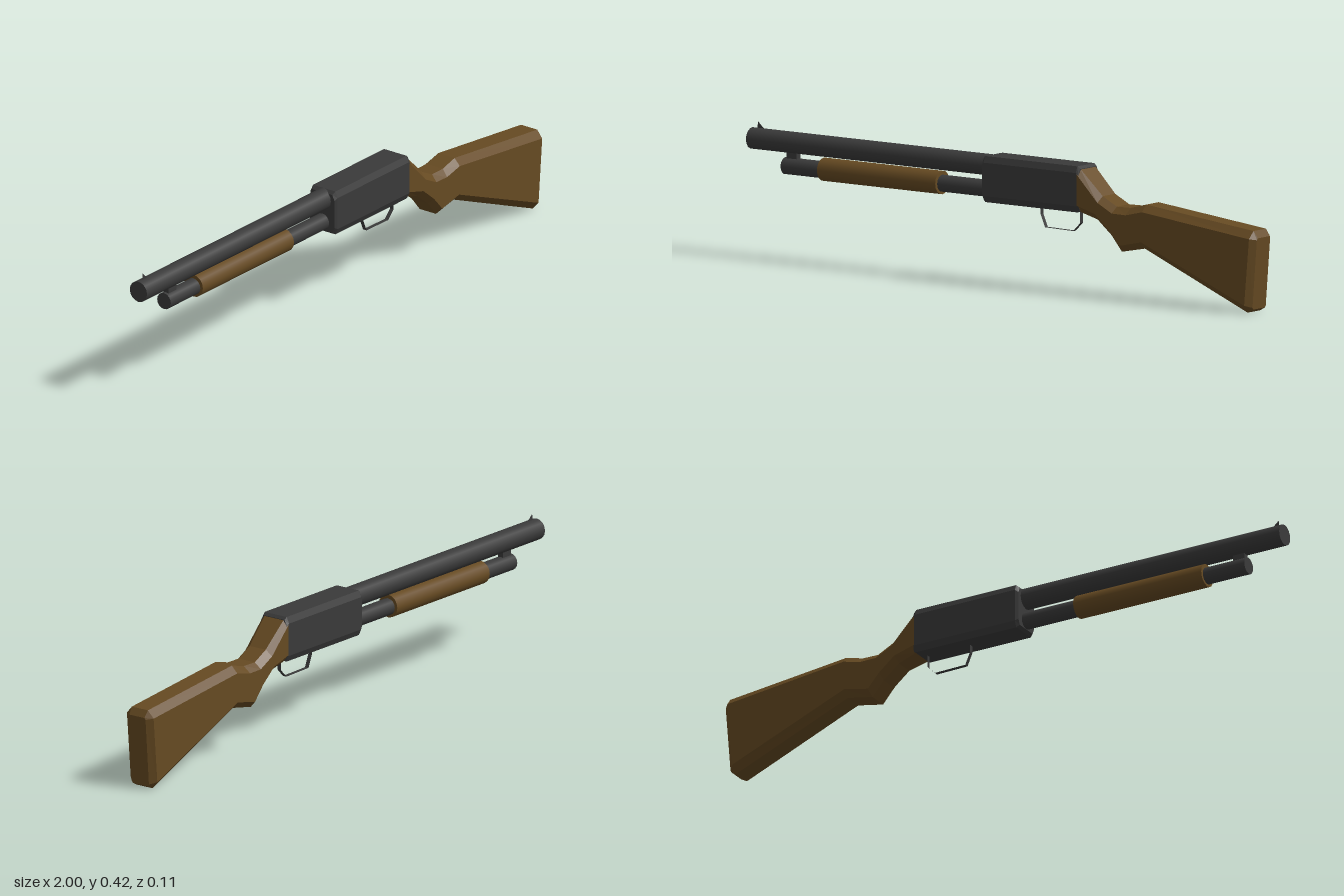
import * as THREE from 'three';

const metal = new THREE.MeshStandardMaterial({ color: 0x3a3a3a, side: THREE.DoubleSide });
metal.name = 'gunmetal';
const wood = new THREE.MeshStandardMaterial({ color: 0x664a22 });
wood.name = 'walnut';

// Faceted loft along x through chamfered sections:
// [xTop, yTop, xBottom, yBottom, halfWidth, flatHalfWidth, chamferDrop]
function loft(name, material, sections) {
  const rings = sections.map(([xt, yt, xb, yb, half, flat, drop]) => {
    const len = Math.hypot(xb - xt, yb - yt);
    const at = (d, z) => {
      const t = d / len;
      return [xt + (xb - xt) * t, yt + (yb - yt) * t, z];
    };
    return [
      at(0, -flat), at(0, flat), at(drop, half), at(len - drop, half),
      at(len, flat), at(len, -flat), at(len - drop, -half), at(drop, -half),
    ];
  });
  const pos = [];
  const tri = (a, b, c) => pos.push(...a, ...b, ...c);
  for (let i = 0; i < rings.length - 1; i++) {
    for (let k = 0; k < 8; k++) {
      const n = (k + 1) % 8;
      tri(rings[i][k], rings[i][n], rings[i + 1][n]);
      tri(rings[i][k], rings[i + 1][n], rings[i + 1][k]);
    }
  }
  const first = rings[0], last = rings[rings.length - 1];
  for (let k = 1; k < 7; k++) {
    tri(first[0], first[k + 1], first[k]);
    tri(last[0], last[k], last[k + 1]);
  }
  const geo = new THREE.BufferGeometry();
  geo.setAttribute('position', new THREE.Float32BufferAttribute(pos, 3));
  geo.computeVertexNormals();
  const mesh = new THREE.Mesh(geo, material);
  mesh.name = name;
  return mesh;
}

// Round bar lying along x
function tube(name, material, x0, x1, y, radius) {
  const geo = new THREE.CylinderGeometry(radius, radius, x1 - x0, 16);
  geo.rotateZ(Math.PI / 2);
  const mesh = new THREE.Mesh(geo, material);
  mesh.position.set((x0 + x1) / 2, y, 0);
  mesh.name = name;
  return mesh;
}

// Thin bent strip following points in the xy plane
function strip(name, material, points, width) {
  const geo = new THREE.PlaneGeometry(1, width, points.length - 1, 1);
  const p = geo.attributes.position;
  for (let i = 0; i < p.count; i++) {
    const [x, y] = points[i % points.length];
    p.setXYZ(i, x, y, -p.getY(i));
  }
  const flat = geo.toNonIndexed();
  flat.computeVertexNormals();
  const mesh = new THREE.Mesh(flat, material);
  mesh.name = name;
  return mesh;
}

export function createModel() {
  const model = new THREE.Group();
  model.name = 'pumpShotgun';

  // Barrel, magazine and sliding grip
  model.add(tube('barrel', metal, -1, -0.05, 0.371, 0.034));
  model.add(tube('magazineTube', metal, -0.87, -0.05, 0.296, 0.027));
  model.add(tube('pumpGrip', wood, -0.72, -0.257, 0.298, 0.037));

  // Small lug joining magazine to barrel
  const lug = new THREE.Mesh(new THREE.BoxGeometry(0.04, 0.04, 0.02), metal);
  lug.position.set(-0.84, 0.33, 0);
  lug.name = 'barrelLug';
  model.add(lug);

  // Front sight blade
  const blade = new THREE.Shape([
    new THREE.Vector2(-0.982, 0.4),
    new THREE.Vector2(-0.95, 0.4),
    new THREE.Vector2(-0.978, 0.425),
  ]);
  const sight = new THREE.Mesh(new THREE.ShapeGeometry(blade), metal);
  sight.name = 'frontSight';
  model.add(sight);

  // Receiver with softened edges
  model.add(loft('receiver', metal, [
    [-0.066, 0.395, -0.066, 0.268, 0.048, 0.039, 0.018],
    [-0.056, 0.405, -0.056, 0.26, 0.053, 0.044, 0.02],
    [0.305, 0.405, 0.305, 0.26, 0.053, 0.044, 0.02],
    [0.314, 0.397, 0.314, 0.263, 0.052, 0.042, 0.02],
  ]));

  // Trigger guard
  model.add(strip('triggerGuard', metal, [
    [0.133, 0.265], [0.133, 0.235], [0.15, 0.195],
    [0.26, 0.193], [0.287, 0.22], [0.287, 0.265],
  ], 0.014));

  // Shoulder stock from wrist to butt
  model.add(loft('stock', wood, [
    [0.308, 0.401, 0.308, 0.263, 0.053, 0.038, 0.02],
    [0.395, 0.318, 0.375, 0.243, 0.053, 0.032, 0.02],
    [0.45, 0.29, 0.43, 0.198, 0.053, 0.032, 0.02],
    [0.505, 0.291, 0.47, 0.15, 0.053, 0.032, 0.022],
    [0.565, 0.307, 0.56, 0.168, 0.053, 0.032, 0.022],
    [0.985, 0.262, 0.962, 0.003, 0.053, 0.032, 0.024],
    [1, 0.24, 0.982, 0.014, 0.034, 0.03, 0.006],
  ]));

  return model;
}
